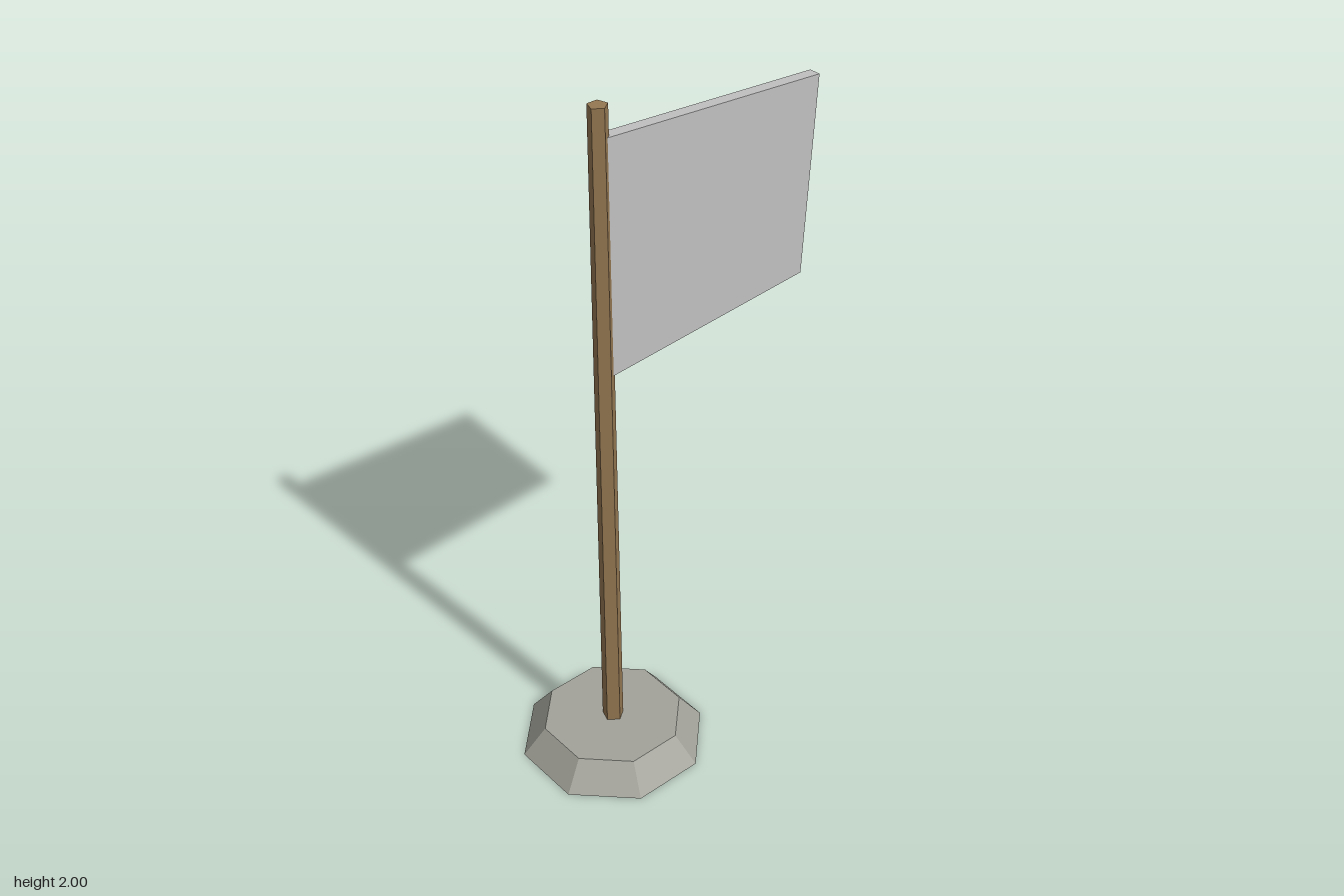
import * as THREE from 'three';

const POLE_X = -0.228;

function material(name, color) {
  const m = new THREE.MeshStandardMaterial({ color, flatShading: true });
  m.name = name;
  return m;
}

export function createModel() {
  const group = new THREE.Group();
  group.name = 'flagOnStand';
  const stone = material('stoneGrey', 0xa3a39b);
  const wood = material('woodBrown', 0x957853);
  const cloth = material('clothGrey', 0xc0c0c0);

  const add = (name, geometry, mat, x, y, z) => {
    const mesh = new THREE.Mesh(geometry, mat);
    mesh.name = name;
    mesh.position.set(x, y, z);
    group.add(mesh);
  };

  // Octagonal stone base with sloping sides
  const baseHeight = 0.083;
  add('base', new THREE.CylinderGeometry(0.201, 0.266, baseHeight, 8, 1, false, Math.PI / 8),
    stone, POLE_X, baseHeight / 2, -0.002);

  // Slightly tapered five-sided pole, sunk into the base
  const poleBottom = 0.005;
  add('pole', new THREE.CylinderGeometry(0.026, 0.031, 2 - poleBottom, 5),
    wood, POLE_X, (2 + poleBottom) / 2, 0);

  // Thick tapering flag, its inner edge buried in the pole
  const outline = new THREE.Shape([
    new THREE.Vector2(POLE_X, 1.254),
    new THREE.Vector2(0.436, 1.303),
    new THREE.Vector2(0.471, 1.868),
    new THREE.Vector2(POLE_X, 1.918),
  ]);
  const thickness = 0.033;
  add('flag', new THREE.ExtrudeGeometry(outline, { depth: thickness, bevelEnabled: false }),
    cloth, 0, 0, -0.018);

  return group;
}
